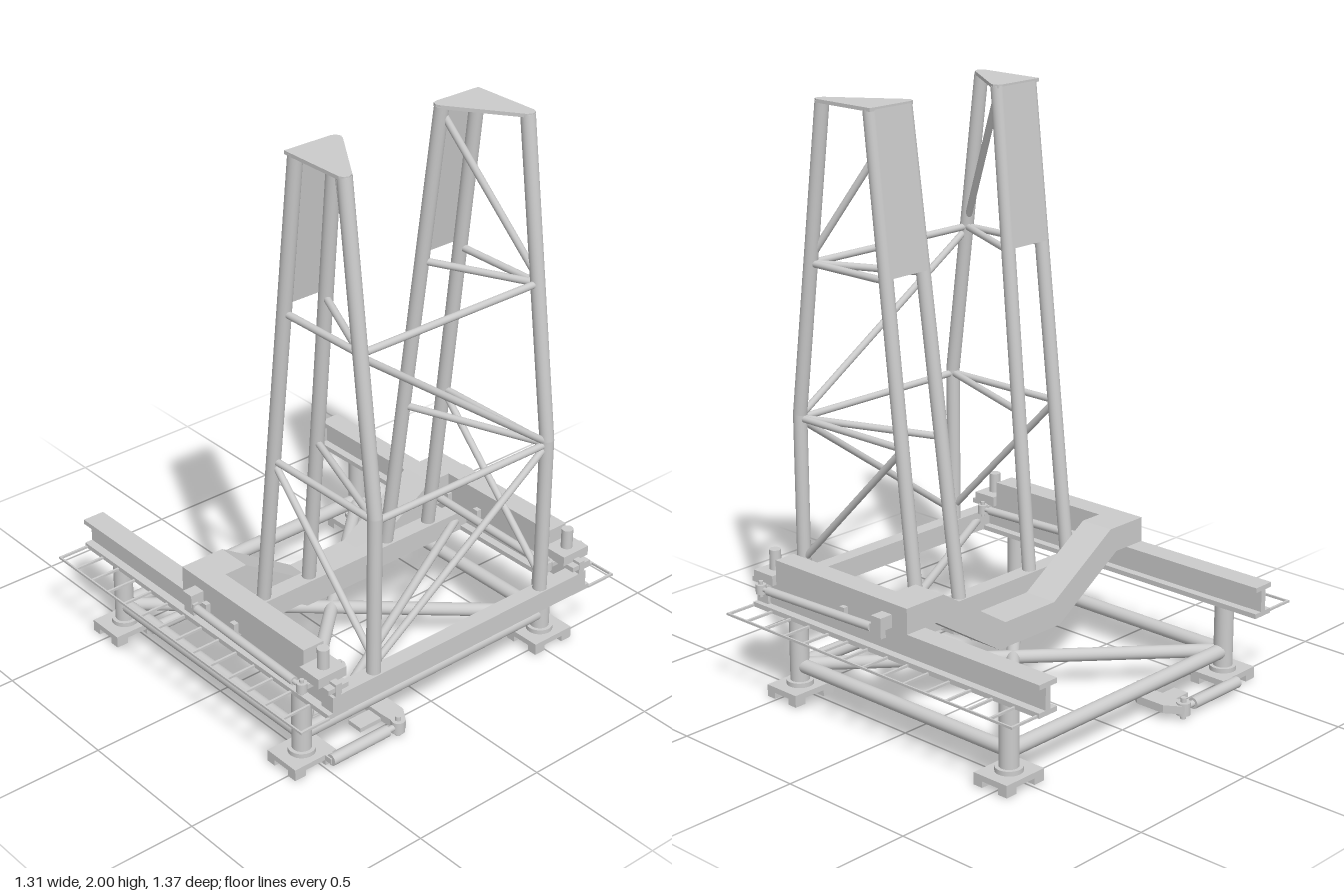
import * as THREE from 'three';

const grey = new THREE.MeshStandardMaterial({ color: 0xcccccc, side: THREE.DoubleSide });
const V = (x, y, z) => new THREE.Vector3(x, y, z);

function add(parent, name, geometry) {
  const mesh = new THREE.Mesh(geometry, grey);
  mesh.name = name;
  parent.add(mesh);
  return mesh;
}

// Box given by its limits on each axis
function box(parent, name, x0, x1, y0, y1, z0, z1) {
  const m = add(parent, name, new THREE.BoxGeometry(x1 - x0, y1 - y0, Math.abs(z1 - z0)));
  m.position.set((x0 + x1) / 2, (y0 + y1) / 2, (z0 + z1) / 2);
  return m;
}

// Round bar between two points
function bar(parent, name, a, b, r, segments = 20) {
  const d = b.clone().sub(a);
  const m = add(parent, name, new THREE.CylinderGeometry(r, r, d.length(), segments));
  m.position.copy(a).add(b).multiplyScalar(0.5);
  m.quaternion.setFromUnitVectors(V(0, 1, 0), d.normalize());
  return m;
}

// (z, y) profile extruded along x
function extrudeX(parent, name, points, x0, x1) {
  const shape = new THREE.Shape(points.map(([z, y]) => new THREE.Vector2(-z, y)));
  const g = new THREE.ExtrudeGeometry(shape, { depth: x1 - x0, bevelEnabled: false });
  g.rotateY(Math.PI / 2).translate(x0, 0, 0);
  return add(parent, name, g);
}

// (x, z) outline extruded upwards from y0 to y1
function extrudeY(parent, name, points, y0, y1) {
  const shape = new THREE.Shape(points.map(([x, z]) => new THREE.Vector2(x, -z)));
  const g = new THREE.ExtrudeGeometry(shape, { depth: y1 - y0, bevelEnabled: false });
  g.rotateX(-Math.PI / 2).translate(0, y0, 0);
  return add(parent, name, g);
}

// Hydraulic cylinder: barrel from a, thin rod, eye at b
function ram(parent, name, a, b, r, share) {
  const g = new THREE.Group();
  g.name = name;
  const mid = a.clone().lerp(b, share);
  bar(g, 'barrel', a, mid, r);
  bar(g, 'rod', mid, b, r * 0.55);
  const up = V(0, r * 1.1, 0);
  bar(g, 'eye', b.clone().sub(up), b.clone().add(up), r * 1.2);
  bar(g, 'eyePin', b.clone().addScaledVector(up, -1.7), b.clone().addScaledVector(up, 1.7), r * 0.5);
  parent.add(g);
}

const LEG_X = [-0.493, 0.469], RAIL_Z = 0.533;

function buildBase(root) {
  const base = new THREE.Group();
  base.name = 'base';
  root.add(base);
  for (const x of LEG_X) {
    for (const s of [-1, 1]) {
      const z = RAIL_Z * s;
      bar(base, 'leg', V(x, 0.035, z), V(x, 0.285, z), 0.033, 28);
      bar(base, 'legCollar', V(x, 0.04, z), V(x, 0.058, z), 0.046, 28);
      box(base, 'footPlate', x - 0.07, x + 0.07, 0.022, 0.042, z - 0.085, z + 0.085);
      for (const dx of [-0.052, 0.052]) for (const dz of [-0.063, 0.063])
        box(base, 'footPad', x + dx - 0.018, x + dx + 0.018, 0, 0.03, z + dz - 0.022, z + dz + 0.022);
    }
    bar(base, 'crossPipe', V(x, 0.11, -RAIL_Z), V(x, 0.11, RAIL_Z), 0.026);
    // Walking jacks at the front feet
    for (const dx of [-0.095, 0.095])
      ram(base, 'walkingJack', V(x + dx, 0.034, 0.49), V(x + dx, 0.034, 0.205), 0.02, 0.83);
    box(base, 'jackCrosshead', x - 0.1, x + 0.1, 0.022, 0.042, 0.465, 0.495);
    extrudeY(base, 'jackBracket', [[x - 0.112, 0.215], [x - 0.112, 0.185], [x - 0.055, 0.147], [x + 0.055, 0.147],
      [x + 0.112, 0.185], [x + 0.112, 0.215], [x + 0.03, 0.222], [x - 0.03, 0.222]], 0.022, 0.05);
    box(base, 'jackTongue', x - 0.03, x + 0.03, 0.018, 0.034, 0.21, 0.31);
  }
  for (const s of [-1, 1]) {
    bar(base, 'sidePipe', V(LEG_X[0], 0.11, RAIL_Z * s), V(LEG_X[1], 0.11, RAIL_Z * s), 0.024);
    bar(base, 'diagonalPipe', V(LEG_X[0], 0.11, -RAIL_Z * s), V(LEG_X[1], 0.11, RAIL_Z * s), 0.023);
  }
}

function buildDeck(root) {
  const deck = new THREE.Group();
  deck.name = 'deck';
  root.add(deck);
  for (const s of [-1, 1]) {
    const z = RAIL_Z * s, side = [[-0.04, 0.28], [0.04, 0.28], [0.04, 0.297], [0.011, 0.297], [0.011, 0.373], [0.04, 0.373],
      [0.04, 0.39], [-0.04, 0.39], [-0.04, 0.373], [-0.011, 0.373], [-0.011, 0.297], [-0.04, 0.297]];
    extrudeX(deck, 'railBeam', side.map(([dz, y]) => [z + dz, y]), -0.655, 0.65);
    box(deck, 'slidingBeam', -0.09, 0.53, 0.39, 0.478, z - 0.04, z + 0.04);
    // Locking block with its pin, and guide clips along the rail
    box(deck, 'lockBlock', 0.53, 0.622, 0.39, 0.425, z - 0.057, z + 0.057);
    bar(deck, 'lockPin', V(0.577, 0.4, z), V(0.577, 0.495, z), 0.02);
    box(deck, 'endLug', 0.622, 0.652, 0.36, 0.4, z - 0.012, z + 0.012);
    for (const x of [0.046, 0.193]) box(deck, 'guideClip', x - 0.011, x + 0.011, 0.36, 0.41, z - 0.058, z + 0.058);
    // Shifting rams either side of the rail
    box(deck, 'ramBracket', -0.022, 0.022, 0.395, 0.44, z - 0.09, z + 0.09);
    for (const dz of [-0.077, 0.077]) {
      box(deck, 'ramLug', -0.02, 0.03, 0.368, 0.41, z + dz - 0.011, z + dz + 0.011);
      ram(deck, 'shiftRam', V(0.035, 0.393, z + dz), V(0.565, 0.378, z + dz), 0.015, 0.93);
    }
    box(deck, 'ramCrosshead', 0.555, 0.578, 0.37, 0.386, z - 0.08, z + 0.08);
    // Ladder-shaped walkway outside the rail
    box(deck, 'walkwayEdge', -0.65, 0.655, 0.281, 0.289, s * 0.681, s * 0.687);
    for (let i = 0; i < 15; i++) {
      const x = -0.645 + i * 0.0925;
      box(deck, 'walkwayRung', x - 0.004, x + 0.004, 0.281, 0.289, s * 0.57, s * 0.685);
    }
  }
  // Dropped cross beam
  extrudeX(deck, 'droppedBeam', [[-0.57, 0.478], [-0.57, 0.39], [-0.44, 0.39], [-0.148, 0.205], [0.148, 0.205], [0.44, 0.39],
    [0.57, 0.39], [0.57, 0.478], [0.408, 0.478], [0.12, 0.295], [-0.12, 0.295], [-0.408, 0.478]], -0.09, 0.037);
  // Tower support beams and brace
  box(deck, 'outerCrossBeam', 0.595, 0.65, 0.282, 0.355, -0.555, 0.555);
  box(deck, 'innerCrossBeam', 0.045, 0.105, 0.282, 0.355, -0.525, 0.525);
  bar(deck, 'deckBrace', V(0.08, 0.318, -0.5), V(0.62, 0.318, 0.49), 0.015);
}

// Height-to-position rules of the three tower legs
const bentLeg = (y, s) => V(0.622 - 0.147 * Math.max(0, (y - 0.92) / 1.08), y, 0.365 * s);
const outerLeg = (y, s) => V(0.073 + 0.112 * (y - 0.35), y, 0.365 * s);
const innerLeg = (y, s) => V(0.073 + 0.112 * (y - 0.35), y, (0.172 + 0.025 * (y - 0.35)) * s);

function buildTower(root, s) {
  const tower = new THREE.Group();
  tower.name = s > 0 ? 'frontTower' : 'backTower';
  root.add(tower);
  const R = 0.024, r = 0.012;
  bar(tower, 'bentLegLower', bentLeg(0.35, s), bentLeg(0.92, s), R);
  bar(tower, 'bentLegUpper', bentLeg(0.92, s), bentLeg(1.993, s), R);
  add(tower, 'bentLegJoint', new THREE.SphereGeometry(R, 20, 12)).position.copy(bentLeg(0.92, s));
  bar(tower, 'outerLeg', outerLeg(0.35, s), outerLeg(1.993, s), R);
  bar(tower, 'innerLeg', innerLeg(0.35, s), innerLeg(1.993, s), R);
  // Bracing
  for (const y of [0.905, 1.45]) {
    bar(tower, 'outerStrut', outerLeg(y, s), bentLeg(y, s), r);
    bar(tower, 'innerStrut', innerLeg(y, s), bentLeg(y, s), r);
  }
  bar(tower, 'lowerDiagonal', outerLeg(0.9, s), bentLeg(0.4, s), r);
  bar(tower, 'upperDiagonal', innerLeg(1.975, s), bentLeg(1.47, s), r);
  // Cap plate wrapping the leg tops
  extrudeY(tower, 'capPlate', [[0.233, 0.388], [0.478, 0.389], [0.492, 0.382], [0.499, 0.366], [0.49, 0.347],
    [0.272, 0.196], [0.255, 0.189], [0.238, 0.196], [0.233, 0.212]].map(([x, z]) => [x, z * s]), 1.988, 2);
  // Cladding over the narrow face of the top bay
  const out = V(-R, 0, 0);
  const corners = [outerLeg(1.46, s), innerLeg(1.46, s), innerLeg(1.995, s), outerLeg(1.995, s)].map((p) => p.add(out));
  const panel = new THREE.BufferGeometry().setFromPoints(corners);
  panel.setIndex(s > 0 ? [0, 2, 1, 0, 3, 2] : [0, 1, 2, 0, 2, 3]);
  panel.computeVertexNormals();
  add(tower, 'claddingPanel', panel);
}

export function createModel() {
  const root = new THREE.Group();
  root.name = 'towerRig';
  buildBase(root);
  buildDeck(root);
  for (const s of [-1, 1]) buildTower(root, s);
  // Ties joining the two towers
  for (const y of [0.905, 1.45]) bar(root, 'towerTie', bentLeg(y, -1), bentLeg(y, 1), 0.012);
  bar(root, 'towerTieDiagonal', bentLeg(1.44, 1), bentLeg(0.91, -1), 0.012);
  bar(root, 'towerTieDiagonal', bentLeg(0.38, 1), bentLeg(0.9, -1), 0.012);
  return root;
}
